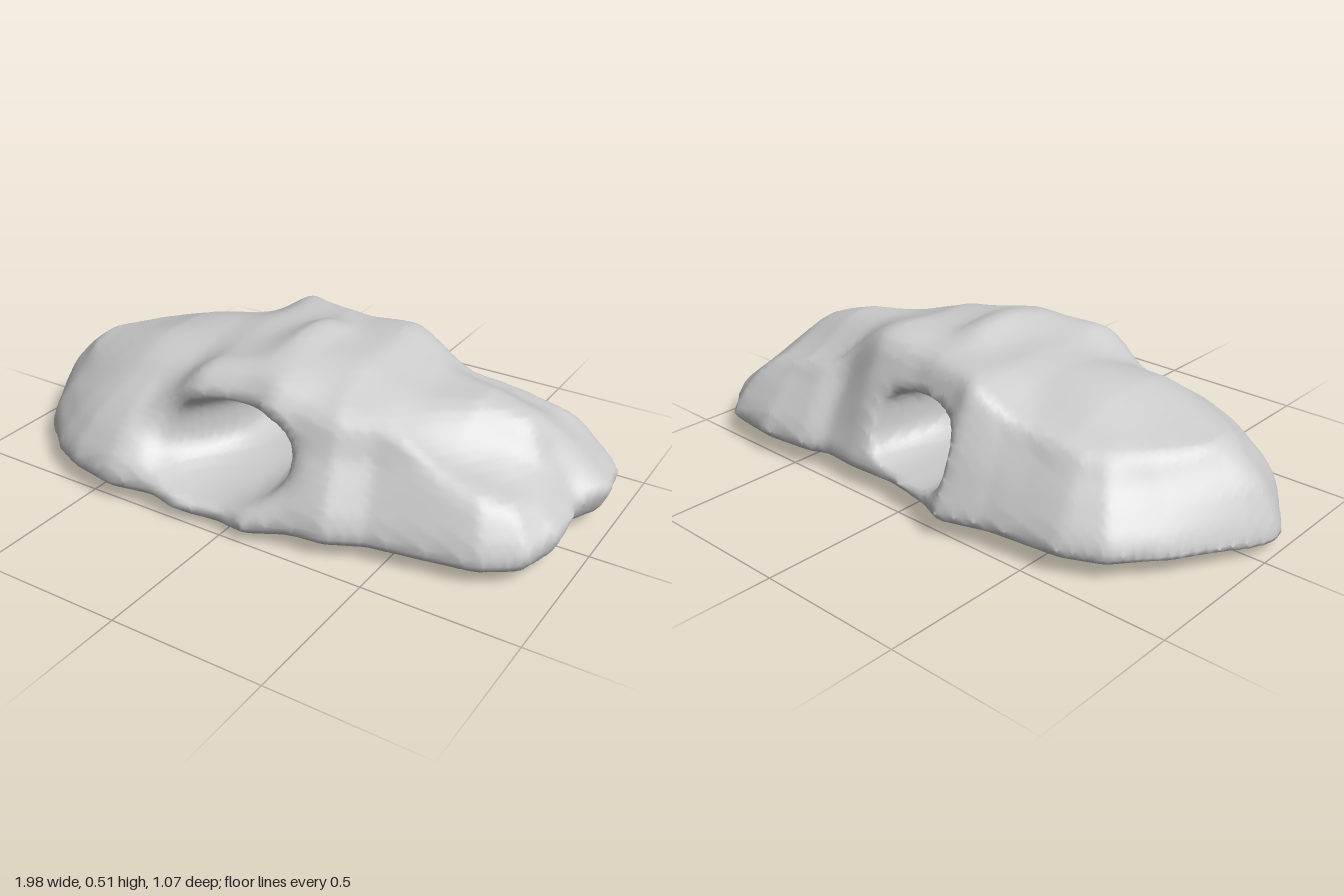
import * as THREE from 'three';

// Ground outline of the rock as [x, z] points
const OUTLINE = [
  [-1, .07], [-.97, .14], [-.85, .31], [-.7, .44], [-.59, .5], [-.42, .53], [-.28, .5], [-.17, .52],
  [-.02, .48], [.08, .5], [.2, .46], [.33, .45], [.45, .39], [.62, .36], [.78, .33], [.9, .25],
  [.95, .12], [.94, 0], [.93, -.06], [.99, -.17], [.97, -.32], [.9, -.42], [.82, -.5], [.62, -.52],
  [.45, -.5], [.38, -.47], [.25, -.48], [.07, -.47], [-.1, -.5], [-.2, -.54], [-.35, -.49], [-.6, -.46],
  [-.73, -.4], [-.85, -.25], [-.92, -.12], [-.97, -.02],
];
// Heights along x of the crest and the underside
const CREST = [[-1, .18], [-.85, .285], [-.8, .325], [-.7, .355], [-.5, .405], [-.3, .43], [-.2, .455], [0, .475],
  [.1, .465], [.25, .47], [.45, .42], [.6, .4], [.75, .35], [.9, .245], [1, .18]];
const BASE = [[-1, .015], [-.8, .02], [-.6, .04], [-.25, .033], [0, .005], [.25, .035], [1, .03]];
// Height of the flank by distance from the outline, for three kinds of slope
const FLANK = [[-.1, -.4], [0, .1], [.02, .145], [.07, .22], [.12, .29], [.16, .38], [.21, .44], [.28, .49], [.5, .6]];
const STEEP = [[-.1, -.4], [0, .1], [.03, .18], [.06, .27], [.1, .36], [.14, .44], [.18, .49], [.5, .62]];
const GENTLE = [[-.1, -.4], [0, .1], [.02, .14], [.08, .21], [.13, .255], [.22, .33], [.32, .395], [.5, .5]];

const smooth = THREE.MathUtils.smoothstep;
const mix = THREE.MathUtils.lerp;

function sample(table, t) {
  if (t <= table[0][0]) return table[0][1];
  for (let i = 1; i < table.length; i++) {
    const [x0, y0] = table[i - 1], [x1, y1] = table[i];
    if (t <= x1) return mix(y0, y1, (t - x0) / (x1 - x0));
  }
  return table[table.length - 1][1];
}

function smoothMin(a, b, k) {
  const h = Math.max(k - Math.abs(a - b), 0) / k;
  return Math.min(a, b) - h * h * k / 4;
}
const smoothMax = (a, b, k) => -smoothMin(-a, -b, k);

// Distance to the outline, positive inside
function insideDistance(x, z) {
  let best = Infinity, inside = false;
  OUTLINE.forEach(([ax, az], i) => {
    const [bx, bz] = OUTLINE[(i + 1) % OUTLINE.length];
    const dx = bx - ax, dz = bz - az;
    const t = THREE.MathUtils.clamp(((x - ax) * dx + (z - az) * dz) / (dx * dx + dz * dz), 0, 1);
    best = Math.min(best, Math.hypot(x - ax - t * dx, z - az - t * dz));
    if ((az > z) !== (bz > z) && x < ax + (z - az) / dz * dx) inside = !inside;
  });
  return inside ? best : -best;
}

// Top and underside heights of the rock at one ground point
function column(x, z) {
  const e = insideDistance(x, z);
  let crest = sample(CREST, x) + .008;
  // peak with a long forward slope, and shoulders that fall away on all four sides
  crest += .035 * Math.exp(-((x - .02) ** 2) / .006 - ((z + .1) ** 2) / (z > -.1 ? .05 : .006));
  crest -= .06 * smooth(-z, .02, .35) * smooth(-x, .15, .38);
  crest -= .09 * smooth(z, .03, .35) * smooth(-x, .15, .35);
  crest -= .055 * smooth(z, .02, .3) * smooth(x, .08, .25);
  crest -= .09 * smooth(-z, .1, .36) * smooth(x, .28, .48);
  crest += .008 * Math.sin(11 * x + 5 * z) + .006 * Math.sin(17 * z - 7 * x + 1);
  // lower lobe at the front left, parted from the body by a groove
  const d = z + .06 - (.95 - x) * .34;
  const reach = smooth(x, .35, .7);
  crest = mix(crest, Math.min(crest, mix(.28, .2, smooth(x, .6, .98))), smooth(d, -.1, .14) * reach);
  crest -= .03 * Math.exp(-((d / .06) ** 2)) * smooth(x, .5, .85);

  const steep = smooth(-z, 0, .25) * smooth(x, -.45, -.2) * (1 - smooth(x, .2, .42));
  const gentle = smooth(z, .05, .3) * smooth(-x, .2, .4)
    + .5 * smooth(-z, .05, .3) * (smooth(x, .45, .65) + smooth(-x, .4, .65));
  const right = smooth(x, .85, .98), left = smooth(-x, .75, .97);
  let flank = mix(mix(sample(FLANK, e), sample(GENTLE, e), gentle), sample(STEEP, e), steep);
  flank += .012 * Math.sin(9 * x + 2) * Math.sin(8 * z);
  // the rim is widest high up at one end and close to the ground at the other
  const rim = Math.max(0, 1 - e / .06);
  flank += (.045 * right - .03 * left) * rim;
  const top = smoothMin(crest, flank, .05);
  const base = mix(sample(BASE, x), .045, smooth(-z, -.4, .15));
  return { top, bottom: base + (.035 + .06 * right - .025 * left) * rim * rim };
}

// Tunnel along z, positive inside: its front mouth flares to a low point on one side
function tunnelDepth(x, y, z) {
  const front = smooth(z, .12, .45), back = smooth(-z, .15, .45);
  const rx = .137 + .11 * front + .045 * back;
  const ry = .102 + .045 * front + .025 * back;
  const power = mix(3, 2, front);
  const a = Math.abs(x + .015 + .06 * front - .015 * back) / rx, b = Math.abs(y - .23) / ry;
  return (1 - (a ** power + b ** power) ** (1 / power)) * ry;
}

// Smooth skin around the solid: one vertex per crossed grid cell, one quad per crossed grid edge
function buildSkin(step) {
  const min = [-1.06, -.05, -.6], n = [107, 32, 61];
  const stride = [1, n[0], n[0] * n[1]];
  const field = new Float32Array(n[0] * n[1] * n[2]);
  for (let k = 0; k < n[2]; k++) for (let i = 0; i < n[0]; i++) {
    const x = min[0] + i * step, z = min[2] + k * step;
    const { top, bottom } = column(x, z);
    const blend = mix(.03, .06, smooth(z, .1, .35));
    for (let j = 0; j < n[1]; j++) {
      const y = min[1] + j * step;
      const rock = smoothMax((y - top) * .6, bottom - y, .015);
      field[i + j * stride[1] + k * stride[2]] = smoothMax(rock, tunnelDepth(x, y, z), blend);
    }
  }

  const corners = [...Array(8).keys()].map(c => [c & 1, (c >> 1) & 1, c >> 2]);
  const positions = [], indices = [], cellVertex = new Map();
  const eachCell = visit => {
    for (let k = 0; k < n[2] - 1; k++) for (let j = 0; j < n[1] - 1; j++) for (let i = 0; i < n[0] - 1; i++)
      visit([i, j, k], i + j * stride[1] + k * stride[2]);
  };

  eachCell((cell, id) => {
    const sum = [0, 0, 0];
    let count = 0;
    const value = c => field[id + c[0] + c[1] * stride[1] + c[2] * stride[2]];
    for (const c of corners) for (let axis = 0; axis < 3; axis++) {
      if (c[axis]) continue;
      const o = c.slice();
      o[axis] = 1;
      const a = value(c), b = value(o);
      if ((a < 0) === (b < 0)) continue;
      for (let m = 0; m < 3; m++) sum[m] += m === axis ? a / (a - b) : c[m];
      count++;
    }
    if (!count) return;
    cellVertex.set(id, positions.length / 3);
    positions.push(...cell.map((v, m) => min[m] + (v + sum[m] / count) * step));
  });

  eachCell((cell, id) => {
    for (let axis = 0; axis < 3; axis++) {
      const solid = field[id] < 0;
      if (solid === (field[id + stride[axis]] < 0)) continue;
      const u = stride[(axis + 1) % 3], v = stride[(axis + 2) % 3];
      const [a, b, c, d] = [id - u - v, id - v, id, id - u].map(q => cellVertex.get(q));
      if (solid) indices.push(a, b, c, a, c, d);
      else indices.push(a, c, b, a, d, c);
    }
  });

  const geometry = new THREE.BufferGeometry();
  geometry.setAttribute('position', new THREE.Float32BufferAttribute(positions, 3));
  geometry.setIndex(indices);
  return geometry;
}

export function createModel() {
  const geometry = buildSkin(.02);

  // Stand the rock on the ground
  geometry.computeBoundingBox();
  geometry.translate(0, -geometry.boundingBox.min.y, 0);
  geometry.computeVertexNormals();

  const rock = new THREE.Mesh(geometry, new THREE.MeshStandardMaterial({ color: 0xcccccc }));
  rock.name = 'rockWithTunnel';
  const group = new THREE.Group();
  group.name = 'rockArch';
  group.add(rock);
  return group;
}
